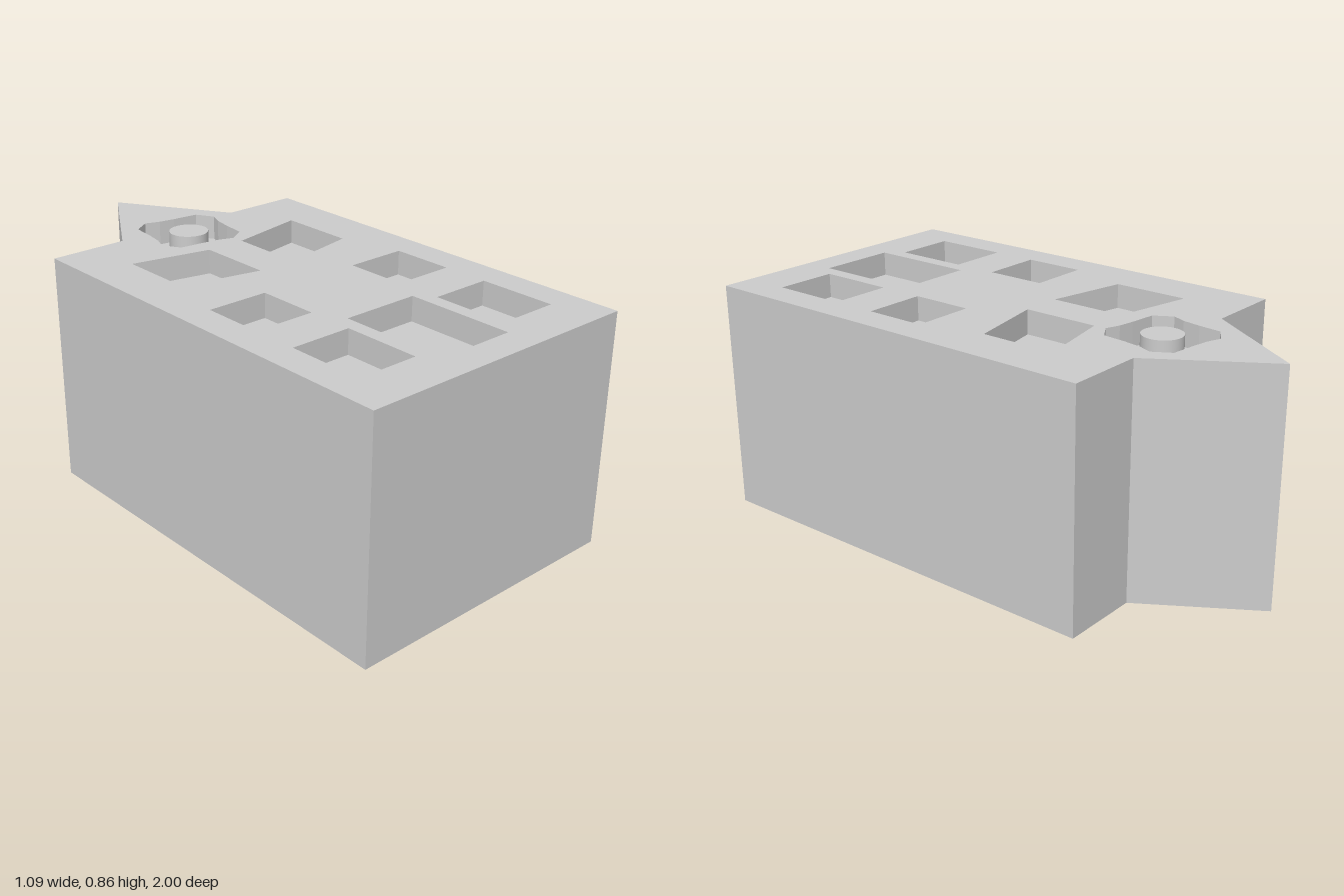
import * as THREE from 'three';

const HEIGHT = 0.86;
const DEPTH = 0.09; // depth of the recesses

const toPoints = (list) => list.map(([x, z]) => new THREE.Vector2(x, z));
const rect = (x0, x1, z0, z1) => [[x0, z0], [x1, z0], [x1, z1], [x0, z1]];
const mirror = (list) => list.map(([x, z]) => [-x, z]).reverse();

// Plan drawn in x and z, extruded downwards from the given top level
function slab(name, outline, holes, top, height, material) {
  const shape = new THREE.Shape(toPoints(outline));
  holes.forEach((hole) => shape.holes.push(new THREE.Path(toPoints(hole))));
  const geometry = new THREE.ExtrudeGeometry(shape, { depth: height, bevelEnabled: false });
  geometry.rotateX(Math.PI / 2).translate(0, top, 0);
  const mesh = new THREE.Mesh(geometry, material);
  mesh.name = name;
  return mesh;
}

export function createModel() {
  const group = new THREE.Group();
  group.name = 'recessedBlock';
  const grey = new THREE.MeshStandardMaterial({ color: 0xcccccc });
  grey.name = 'light grey';

  // Block with a pointed back
  const outline = [
    [-0.545, 1], [-0.545, -0.6], [-0.255, -0.6], [0, -1],
    [0.255, -0.6], [0.545, -0.6], [0.545, 1],
  ];

  // Recesses on one side, mirrored to the other
  const sideRecesses = [
    [[0.075, -0.315], [0.37, -0.375], [0.37, -0.09], [0.075, -0.03]],
    rect(0.2, 0.43, 0.14, 0.37),
    rect(0.2, 0.43, 0.54, 0.825),
  ];

  // Wavy four-lobed recess, half of it turned to complete the ring
  const knobZ = -0.535;
  const half = [
    [-0.135, -0.135], [-0.074, -0.175], [-0.02, -0.156], [0.04, -0.146],
    [0.137, -0.135], [0.175, -0.07], [0.155, -0.02], [0.143, 0.05],
  ];
  const rosette = [...half, ...half.map(([x, z]) => [-x, -z])].map(([x, z]) => [x, z + knobZ]);

  const recesses = [
    ...sideRecesses, ...sideRecesses.map(mirror),
    rect(-0.147, 0.147, 0.48, 0.885), rosette,
  ];
  group.add(slab('base', outline, [], HEIGHT - DEPTH, HEIGHT - DEPTH, grey));
  group.add(slab('recessedTop', outline, recesses, HEIGHT, DEPTH, grey));

  // Round knob inside the wavy recess
  const knob = new THREE.Mesh(new THREE.CylinderGeometry(0.073, 0.073, DEPTH, 32), grey);
  knob.name = 'knob';
  knob.position.set(0, HEIGHT - DEPTH / 2, knobZ);
  group.add(knob);

  return group;
}
